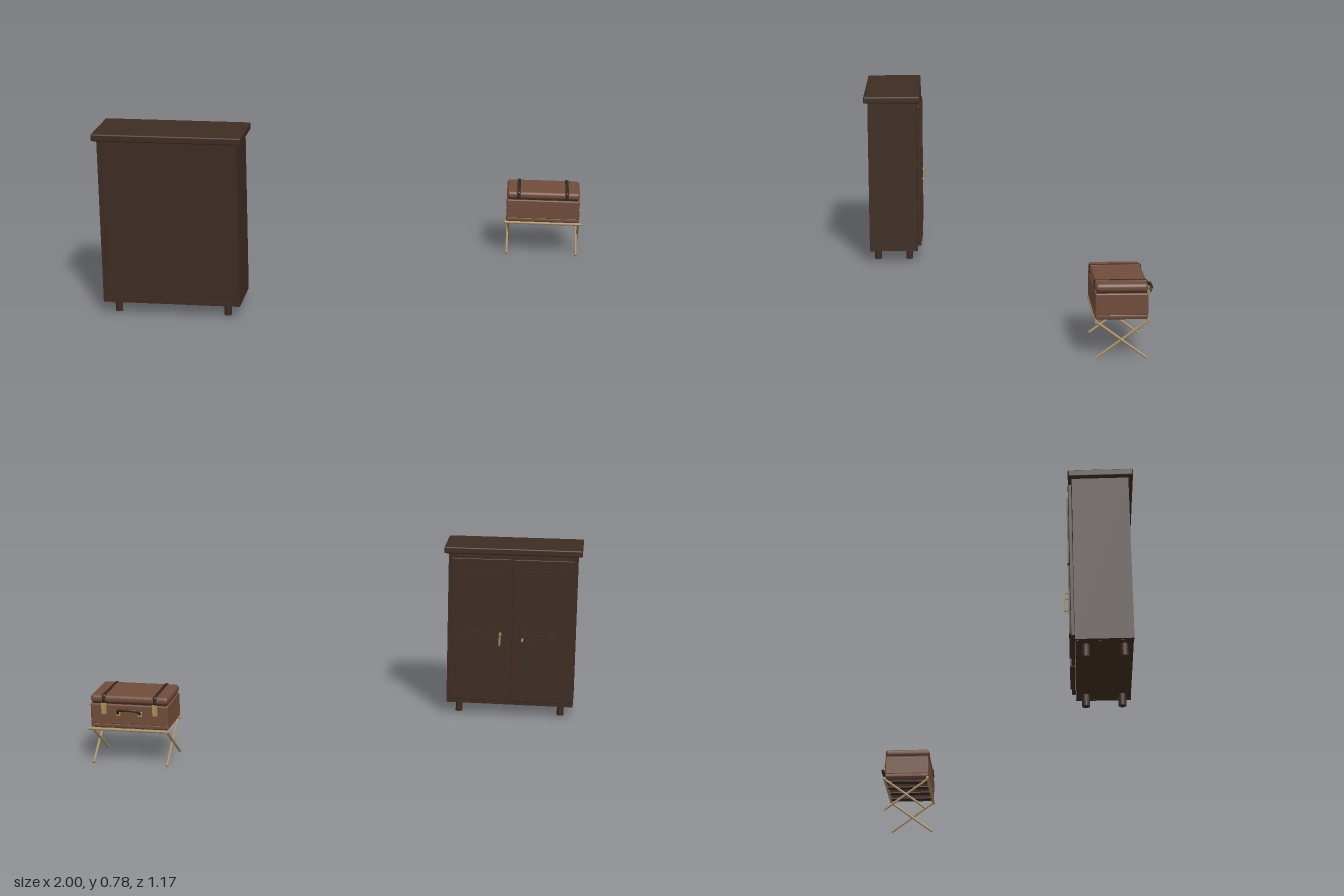
import * as THREE from 'three';
import { RoundedBoxGeometry } from 'three/addons/geometries/RoundedBoxGeometry.js';

const mat = (name, color) => Object.assign(new THREE.MeshStandardMaterial({ color }), { name });

export function createModel() {
  const wood = mat('darkWood', 0x3d2c22);
  const leather = mat('brownLeather', 0x704c3a);
  const strapMat = mat('darkLeather', 0x35271f);
  const paleWood = mat('paleWood', 0xa38c64);
  const brass = mat('brass', 0xa8905c);

  const model = new THREE.Group();
  const wardrobe = new THREE.Group();
  wardrobe.name = 'wardrobe';
  const rack = new THREE.Group();
  rack.name = 'luggageRack';
  const suitcase = new THREE.Group();
  suitcase.name = 'suitcase';
  model.add(wardrobe, rack, suitcase);

  const add = (parent, name, geo, material) => {
    const m = new THREE.Mesh(geo, material);
    m.name = name;
    parent.add(m);
    return m;
  };
  // Box given by its limits on each axis, optionally with rounded edges
  const box = (parent, name, material, [x0, x1], [y0, y1], [z0, z1], r = 0) => {
    const s = [x1 - x0, y1 - y0, z1 - z0];
    const g = r ? new RoundedBoxGeometry(...s, 3, r) : new THREE.BoxGeometry(...s);
    const m = add(parent, name, g, material);
    m.position.set((x0 + x1) / 2, (y0 + y1) / 2, (z0 + z1) / 2);
    return m;
  };
  // Round bar between two points
  const bar = (parent, name, material, a, b, r) => {
    const p = new THREE.Vector3(...a), q = new THREE.Vector3(...b);
    const d = q.clone().sub(p);
    const m = add(parent, name, new THREE.CylinderGeometry(r, r, d.length(), 12), material);
    m.position.copy(p).add(q).multiplyScalar(0.5);
    m.quaternion.setFromUnitVectors(new THREE.Vector3(0, 1, 0), d.normalize());
    return m;
  };

  // Wardrobe carcass with the plain panel set slightly in
  const cx = -0.695;
  box(wardrobe, 'top', wood, [-1, -0.39], [0.75, 0.78], [0.33, 0.584], 0.006);
  box(wardrobe, 'body', wood, [-0.97, -0.42], [0.06, 0.75], [0.347, 0.558]);
  box(wardrobe, 'bottomRail', wood, [-0.965, -0.425], [0.055, 0.075], [0.346, 0.564]);
  box(wardrobe, 'topRail', wood, [-0.965, -0.425], [0.738, 0.75], [0.346, 0.564]);
  for (const s of [-1, 1]) {
    const side = cx + s * 0.278;
    box(wardrobe, 'sidePanel', wood, [side - 0.0075, side + 0.0075], [0.055, 0.75], [0.345, 0.566]);

    // Door with two raised panels, each framed by moulding
    const door = new THREE.Group();
    door.name = s > 0 ? 'leftDoor' : 'rightDoor';
    wardrobe.add(door);
    const span = (a, b) => [cx + s * a, cx + s * b].sort((p, q) => p - q);
    box(door, 'doorSlab', wood, span(0.004, 0.272), [0.076, 0.732], [0.329, 0.344], 0.003);
    for (const [y0, y1] of [[0.093, 0.385], [0.395, 0.684]]) {
      const w = 0.011, z = [0.323, 0.33];
      box(door, 'moulding', wood, span(0.036, 0.036 + w), [y0, y1], z);
      box(door, 'moulding', wood, span(0.254 - w, 0.254), [y0, y1], z);
      box(door, 'moulding', wood, span(0.036 + w, 0.254 - w), [y0, y0 + w], z);
      box(door, 'moulding', wood, span(0.036 + w, 0.254 - w), [y1 - w, y1], z);
      box(door, 'panel', wood, span(0.056, 0.234), [y0 + 0.02, y1 - 0.02], [0.326, 0.33]);
    }
    // Feet
    for (const z of [0.384, 0.529])
      bar(wardrobe, 'foot', wood, [cx + s * 0.23, 0.006, z], [cx + s * 0.23, 0.058, z], 0.0155);
  }

  // Door hardware: pull handle on one door, key on the other
  const hx = -0.647;
  box(wardrobe, 'handlePlate', brass, [hx - 0.006, hx + 0.006], [0.335, 0.405], [0.325, 0.33]);
  for (const y of [0.344, 0.398])
    bar(wardrobe, 'handlePost', brass, [hx, y, 0.329], [hx, y, 0.307], 0.0025);
  bar(wardrobe, 'handleGrip', brass, [hx, 0.341, 0.307], [hx, 0.401, 0.307], 0.003);
  const kx = -0.746;
  box(wardrobe, 'keyPlate', brass, [kx - 0.005, kx + 0.005], [0.357, 0.38], [0.325, 0.33]);
  bar(wardrobe, 'key', brass, [kx, 0.37, 0.329], [kx, 0.37, 0.308], 0.0025);

  // Folding rack: two long rails, crossed legs and webbing
  const zF = -0.352, zB = -0.553;
  for (const z of [zF, zB])
    bar(rack, 'rail', paleWood, [0.652, 0.155, z], [1, 0.155, z], 0.0065);
  for (const x of [0.667, 0.981]) {
    bar(rack, 'leg', paleWood, [x - 0.003, 0.005, zF - 0.003], [x - 0.003, 0.153, zB], 0.0055);
    bar(rack, 'leg', paleWood, [x + 0.003, 0.005, zB + 0.003], [x + 0.003, 0.153, zF], 0.0055);
  }
  for (let i = 0; i < 4; i++) {
    const x = 0.711 + i * 0.075;
    box(rack, 'webbing', strapMat, [x - 0.016, x + 0.016], [0.152, 0.157], [zB, zF]);
  }

  // Suitcase shell, seam and lid
  const sx = [0.659, 0.988], sz = [-0.552, -0.348];
  box(suitcase, 'base', leather, sx, [0.16, 0.182], sz, 0.008);
  box(suitcase, 'shell', leather, sx, [0.176, 0.264], sz, 0.006);
  box(suitcase, 'seam', strapMat, [0.667, 0.98], [0.255, 0.28], [-0.545, -0.355]);
  box(suitcase, 'lid', leather, sx, [0.268, 0.301], sz, 0.014);
  for (const x of [0.713, 0.93]) {
    // Strap over the lid, wrapping its rounded edges
    box(suitcase, 'strap', strapMat, [x - 0.01, x + 0.01], [0.266, 0.304], [-0.554, -0.346], 0.009);
    // Latch
    box(suitcase, 'latch', brass, [x - 0.01, x + 0.01], [0.222, 0.268], [-0.558, -0.55]);
    box(suitcase, 'latchClasp', brass, [x - 0.006, x + 0.006], [0.235, 0.258], [-0.563, -0.557]);
  }

  // Carrying handle
  const grip = new THREE.CatmullRomCurve3([
    [0.777, 0.227, -0.556], [0.778, 0.238, -0.57], [0.79, 0.247, -0.578],
    [0.823, 0.249, -0.58], [0.856, 0.247, -0.578], [0.868, 0.238, -0.57], [0.869, 0.227, -0.556],
  ].map((p) => new THREE.Vector3(...p)));
  add(suitcase, 'handle', new THREE.TubeGeometry(grip, 32, 0.006, 10), strapMat);
  for (const x of [0.777, 0.869])
    box(suitcase, 'handleMount', brass, [x - 0.009, x + 0.009], [0.218, 0.236], [-0.56, -0.55]);

  return model;
}
